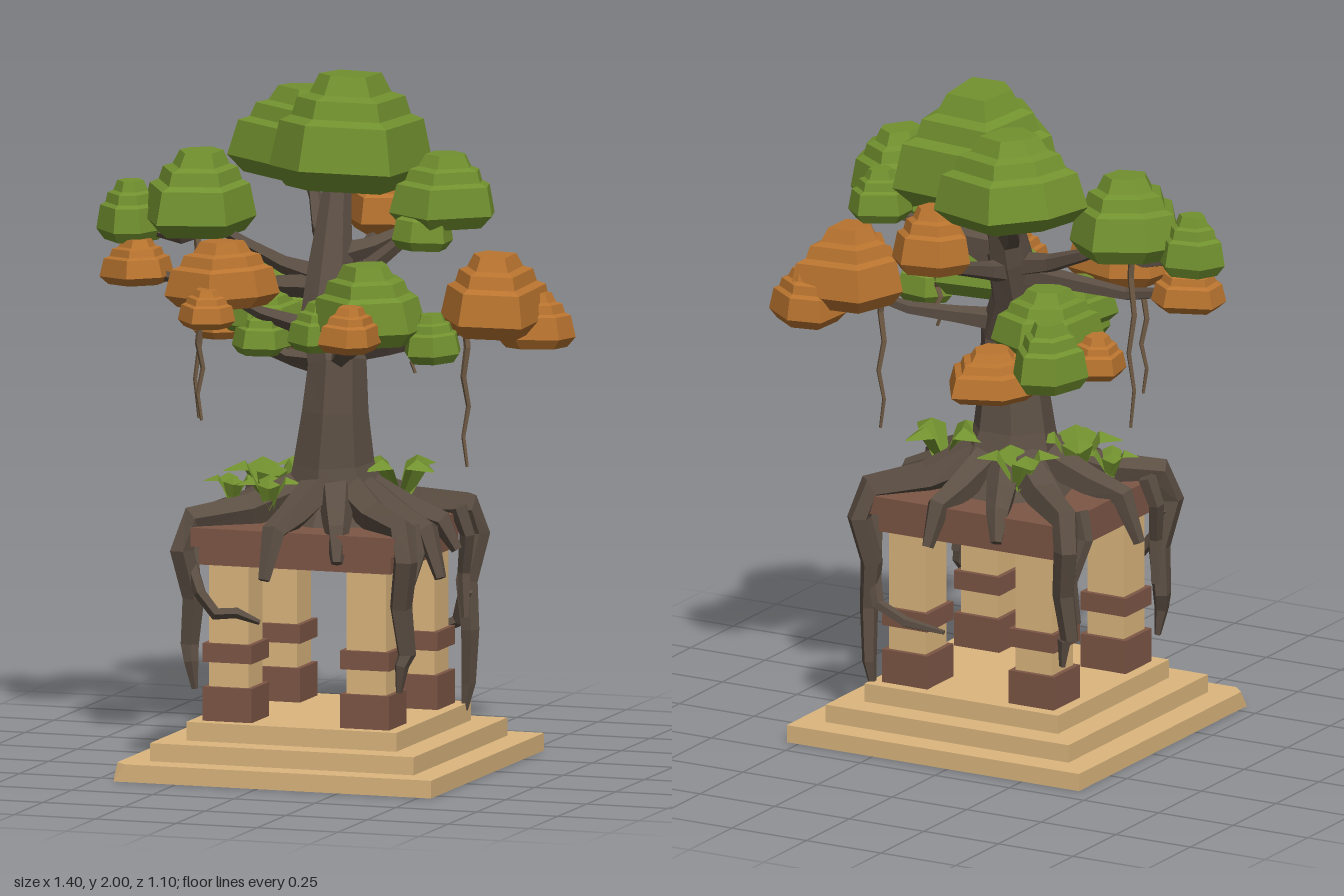
import * as THREE from 'three';

const mat = (name, color) => {
  const m = new THREE.MeshStandardMaterial({ color, flatShading: true, side: THREE.DoubleSide });
  m.name = name;
  return m;
};

export function createModel() {
  const stone = mat('sandstone', 0xdcb67e);
  const brick = mat('red stone', 0x7d5646);
  const bark = mat('bark', 0x5b4e43);
  const vineMat = mat('vine', 0x6f5a44);
  const green = mat('green foliage', 0x72912f);
  const orange = mat('orange foliage', 0xb9742f);
  const model = new THREE.Group();
  model.name = 'shrineTree';
  let seed = 11;
  const rand = () => (seed = (seed * 16807) % 2147483647) / 2147483647;
  const group = (name) => {
    const g = new THREE.Group();
    g.name = name;
    model.add(g);
    return g;
  };
  const add = (parent, name, geo, material) => {
    const m = new THREE.Mesh(geo, material);
    m.name = name;
    parent.add(m);
    return m;
  };
  const box = (parent, name, w, h, x, y, z, material) =>
    add(parent, name, new THREE.BoxGeometry(w, h, w), material).position.set(x, y + h / 2, z);

  // Tapered tube through [x, y, z, radius] points, with closed ends
  function limb(parent, name, pts, material, sides = 6) {
    const P = pts.map((p) => new THREE.Vector3(p[0], p[1], p[2]));
    const pos = [], idx = [], q = new THREE.Quaternion();
    const tan = (i) => P[Math.min(i + 1, P.length - 1)].clone().sub(P[Math.max(i - 1, 0)]).normalize();
    let t = tan(0);
    let u = new THREE.Vector3(0, 0, 1).addScaledVector(t, -t.z);
    if (u.length() < 0.2) u.set(1, 0, 0).addScaledVector(t, -t.x);
    u.normalize();
    P.forEach((p, i) => {
      const n = tan(i);
      u.applyQuaternion(q.setFromUnitVectors(t, n));
      t = n;
      const v = t.clone().cross(u);
      for (let j = 0; j < sides; j++) {
        const a = (j / sides) * Math.PI * 2;
        const c = p.clone().addScaledVector(u, Math.cos(a) * pts[i][3]).addScaledVector(v, Math.sin(a) * pts[i][3]);
        pos.push(c.x, c.y, c.z);
      }
    });
    const at = (i, j) => i * sides + (j % sides), last = P.length - 1;
    for (let i = 0; i < last; i++)
      for (let j = 0; j < sides; j++)
        idx.push(at(i, j), at(i, j + 1), at(i + 1, j), at(i, j + 1), at(i + 1, j + 1), at(i + 1, j));
    for (let j = 1; j < sides - 1; j++)
      idx.push(at(0, 0), at(0, j + 1), at(0, j), at(last, 0), at(last, j), at(last, j + 1));
    const g = new THREE.BufferGeometry();
    g.setAttribute('position', new THREE.Float32BufferAttribute(pos, 3));
    g.setIndex(idx);
    g.computeVertexNormals();
    return add(parent, name, g, material);
  }

  // Stepped plinth: three hollow shells, open underneath
  const CX = 0.048, CZ = 0.062;
  const plinth = group('plinth');
  function step(half, hole, y, h, chip) {
    const outline = (pts) => pts.map((p) => new THREE.Vector2(...p));
    const s = new THREE.Shape(outline([[-half + chip, -half], [half, -half], [half, half], [-half, half], [-half, -half + chip]]));
    if (hole) s.holes.push(new THREE.Path(outline([[-hole, -hole], [-hole, hole], [hole, hole], [hole, -hole]])));
    const g = new THREE.ExtrudeGeometry(s, { depth: h, bevelEnabled: false });
    const p = g.attributes.position, caps = g.groups[0].count;
    for (let i = 0; i < p.count; i++) {
      if (p.getZ(i) > 0) continue;
      const x = p.getX(i), y2 = p.getY(i);
      // underside and inner rim fold up against the top; the chipped corner slopes out at its foot
      if (i < caps || Math.max(Math.abs(x), Math.abs(y2)) < half - 0.01) p.setZ(i, h - 0.002);
      else if (x < -half + chip + 1e-4 && y2 < -half + chip + 1e-4) p.setXY(i, -half, -half);
    }
    g.rotateX(-Math.PI / 2);
    add(plinth, 'step', g, stone).position.set(CX, y, CZ);
  }
  step(0.49, 0.407, 0, 0.052, 0.035);
  step(0.407, 0.324, 0.05, 0.055, 0);
  step(0.324, 0, 0.105, 0.055, 0);

  // Four pillars carrying the roof
  const pillars = group('pillars');
  for (const sx of [-1, 1]) for (const sz of [-1, 1]) {
    const x = CX + sx * 0.212, z = CZ + sz * 0.21;
    box(pillars, 'pillarShaft', 0.122, 0.4, x, 0.24, z, stone);
    box(pillars, 'pillarBase', 0.152, 0.25, x, 0.01, z, brick);
    box(pillars, 'pillarBand', 0.152, 0.055, x, 0.333, z, brick);
  }
  const roof = group('roof');
  box(roof, 'roofLower', 0.59, 0.06, CX, 0.62, CZ, brick);
  box(roof, 'roofUpper', 0.63, 0.055, CX, 0.675, CZ, brick);

  // Leaning trunk with flared foot
  const tree = group('tree');
  const trunk = [[0.07, 0.72, 0.06, 0.22], [0.07, 0.8, 0.065, 0.155], [0.065, 0.9, 0.075, 0.122], [0.072, 1.05, 0.08, 0.1],
    [0.075, 1.19, 0.07, 0.088], [0.025, 1.31, 0.025, 0.078], [0.02, 1.45, -0.03, 0.068], [0.015, 1.6, -0.08, 0.05], [0.01, 1.76, -0.14, 0.035]];
  limb(tree, 'trunk', trunk, bark, 7);
  const onTrunk = (y) => {
    const i = Math.max(1, trunk.findIndex((p) => p[1] >= y)), a = trunk[i - 1], b = trunk[i];
    const k = (y - a[1]) / (b[1] - a[1]);
    return [0, 1, 2].map((c) => a[c] + (b[c] - a[c]) * k);
  };

  // Roots: crawl over the roof, bend at the edge, hang down
  const roots = group('roots');
  const hang = [[-0.28, 0.33, 0.25], [0.37, 0.33, 0.27], [0.375, -0.225, 0.14], [-0.28, -0.225, 0.3]];
  for (const [x, z, end] of hang) {
    const dx = x - 0.07, dz = z - 0.06, sx = Math.sign(dx), sz = Math.sign(dz);
    limb(roots, 'hangingRoot', [[0.07 + dx * 0.25, 0.82, 0.06 + dz * 0.25, 0.06], [0.07 + dx * 0.6, 0.765, 0.06 + dz * 0.6, 0.05],
      [x, 0.745, z, 0.042], [x + sx * 0.02, 0.66, z + sz * 0.03, 0.037], [x - sx * 0.005, 0.52, z, 0.034],
      [x + sx * 0.01, 0.38, z - sz * 0.01, 0.028], [x, end + 0.08, z + sz * 0.005, 0.022], [x - sx * 0.01, end, z, 0.01]], bark, 5);
    // thinner strand beside each hanging root
    limb(roots, 'rootStrand', [[x, 0.75, z - sz * 0.08, 0.028], [x + sx * 0.025, 0.67, z - sz * 0.07, 0.024],
      [x, 0.55, z - sz * 0.03, 0.02], [x + sx * 0.01, 0.42, z - sz * 0.05, 0.012]], bark, 5);
  }
  const short = [[-0.01, 0.46, 0.6], [0.46, 0.25, 0.6], [-0.34, 0.1, 0.6], [0.43, 0.02, 0.65],
    [0.14, -0.3, 0.62], [0.19, 0.39, 0.65], [-0.08, -0.28, 0.66]];
  for (const [x, z, end] of short) {
    const at = (k) => [0.07 + (x - 0.07) * k, 0.06 + (z - 0.06) * k];
    const [a, b, c] = [at(0.3), at(0.62), at(0.87)];
    limb(roots, 'shortRoot', [[a[0], 0.82, a[1], 0.055], [b[0], 0.765, b[1], 0.045], [c[0], 0.735, c[1], 0.036], [x, end, z, 0.018]], bark, 5);
  }
  limb(roots, 'curlingRoot', [[-0.29, 0.64, 0.33, 0.022], [-0.24, 0.54, 0.37, 0.02], [-0.19, 0.48, 0.37, 0.02], [-0.13, 0.485, 0.36, 0.017], [-0.07, 0.455, 0.33, 0.008]], bark, 5);
  limb(roots, 'curlingRoot', [[0.38, 0.5, -0.2, 0.022], [0.34, 0.4, -0.24, 0.02], [0.25, 0.36, -0.24, 0.017], [0.13, 0.34, -0.22, 0.007]], bark, 5);

  // Foliage pads: [x, z, radius, bottom, top, branch start height or 0, corners of the outline]
  const greens = [
    [0.02, -0.17, 0.24, 1.67, 2.0, 0, [[0.21, 0.215], [0.195, -0.2], [-0.155, -0.24], [-0.21, 0.085], [-0.07, 0.225]]],
    [-0.17, -0.33, 0.215, 1.67, 1.93, 1.5, [[-0.04, -0.22], [0.195, -0.13], [0.135, 0.125], [0, 0.19], [-0.22, 0.05], [-0.175, -0.1]]],
    [-0.39, -0.08, 0.195, 1.53, 1.77, 1.42, [[-0.18, 0.02], [-0.13, -0.085], [0.01, -0.165], [0.14, -0.07], [0.115, 0.125], [-0.08, 0.18]]],
    [-0.6, -0.05, 0.1, 1.5, 1.675, 0], [-0.32, -0.39, 0.11, 1.2, 1.4, 1.2], [-0.19, -0.17, 0.15, 1.24, 1.42, 0],
    [-0.17, 0.03, 0.12, 1.27, 1.4, 0], [-0.15, 0.1, 0.09, 1.21, 1.34, 1.2],
    [0.36, -0.06, 0.16, 1.59, 1.8, 1.4, [[-0.01, -0.18], [0.125, -0.085], [0.15, 0.01], [0.01, 0.18], [-0.135, 0.1], [-0.125, -0.085]]],
    [0.32, -0.25, 0.09, 1.58, 1.73, 1.48], [0.32, 0.02, 0.09, 1.53, 1.68, 0],
    [0.21, 0.18, 0.18, 1.27, 1.5, 1.2, [[-0.17, 0.01], [-0.095, -0.125], [0.085, -0.17], [0.17, -0.04], [0.16, 0.085], [-0.01, 0.15]]],
    [0.06, 0.15, 0.095, 1.24, 1.38, 0], [0.4, 0.15, 0.09, 1.22, 1.36, 0]];
  const oranges = [
    [-0.23, 0.2, 0.155, 1.36, 1.55, 1.28, [[-0.15, 0.085], [-0.125, -0.06], [-0.02, -0.12], [0.15, -0.075], [0.12, 0.03], [0.01, 0.155]]],
    [-0.23, 0.35, 0.085, 1.32, 1.43, 0], [-0.38, -0.21, 0.09, 1.2, 1.32, 1.18],
    [-0.1, -0.34, 0.145, 1.13, 1.27, 1.18], [-0.56, 0, 0.11, 1.38, 1.51, 1.4],
    [0.48, -0.13, 0.17, 1.27, 1.5, 1.22, [[0.135, -0.15], [0.14, 0.13], [-0.04, 0.175], [-0.15, 0.02], [-0.1, -0.15]]],
    [0.59, -0.22, 0.108, 1.22, 1.38, 0], [0.05, -0.43, 0.12, 1.51, 1.7, 1.4], [0.21, 0.35, 0.095, 1.27, 1.4, 1.2]];
  const profile = [[0, 0.04], [0.78, 0], [1, 0.18], [0.88, 0.58], [0.73, 0.63], [0.66, 0.79], [0.5, 0.83], [0.38, 1], [0, 1]]
    .map((p) => new THREE.Vector2(...p));
  const foliage = group('foliage');
  // uneven hexagon for pads without their own outline
  function hexagon(r) {
    const turn = rand() * Math.PI;
    return Array.from({ length: 6 }, (_, i) => {
      const a = turn + (i + rand() * 0.3) * Math.PI / 3, k = r * (0.92 + rand() * 0.2);
      return [Math.sin(a) * k, Math.cos(a) * k];
    });
  }
  function pad([x, z, r, y0, y1, from, corners = hexagon(r)], material) {
    const ring = [...corners].sort((a, b) => Math.atan2(...a) - Math.atan2(...b));
    const g = new THREE.LatheGeometry(profile, ring.length), p = g.attributes.position;
    for (let i = 0; i < p.count; i++) {
      const c = ring[Math.floor(i / profile.length) % ring.length], f = profile[i % profile.length];
      p.setXYZ(i, c[0] * f.x, f.y * (y1 - y0), c[1] * f.x);
    }
    const m = add(foliage, 'leafPad', g, material);
    m.position.set(x, y0, z);
    m.rotation.set((rand() - 0.5) * 0.1, 0, (rand() - 0.5) * 0.1);
    if (!from) return;
    const [a, b, c] = onTrunk(from), d = y0 - from;
    limb(tree, 'branch', [[a, b, c, 0.042], [a + (x - a) * 0.35, b + d * 0.3, c + (z - c) * 0.3, 0.028],
      [a + (x - a) * 0.65, b + d * 0.75, c + (z - c) * 0.7, 0.02], [x, y0 + 0.04, z, 0.013]], bark, 5);
  }
  greens.forEach((f) => pad(f, green));
  oranges.forEach((f) => pad(f, orange));
  limb(tree, 'branch', [[-0.33, 1.56, -0.08, 0.024], [-0.45, 1.51, -0.06, 0.018], [-0.6, 1.54, -0.05, 0.011]], bark, 5);

  // Hanging vines: [x, z, top, bottom]
  const vines = group('vines');
  for (const [x, z, top, end] of [[-0.39, -0.03, 1.56, 0.99], [-0.3, 0.2, 1.4, 1.02], [0.31, 0.06, 1.32, 1.17], [0.42, -0.08, 1.32, 0.88]]) {
    const pts = [];
    for (let i = 0; i <= 5; i++) pts.push([x + (i % 2 ? 0.007 : -0.005), top + (end - top) * i / 5, z + (i % 3 ? 0.006 : -0.005), 0.012 - i * 0.0014]);
    limb(vines, 'vine', pts, vineMat, 4);
  }

  // Leaf tufts between the roots: broad blades that rise and droop at the tip
  const tufts = group('leafTufts');
  for (const [x, z, turn, size] of [[-0.12, 0.12, 0.3, 1.1], [0.24, -0.02, 1, 1.15], [-0.05, -0.1, 2, 1], [-0.22, 0.14, 0.2, 0.7], [-0.08, 0.22, 0.1, 0.8]])
    for (let i = 0; i < 4; i++) {
      const g = new THREE.PlaneGeometry(0.085, 0.14, 2, 2), p = g.attributes.position;
      for (let k = 0; k < p.count; k++) {
        const row = Math.round((p.getY(k) / 0.14 + 0.5) * 2), side = p.getX(k) * [0.4, 1, 0.1][row];
        p.setXYZ(k, side, [0, 0.115, 0.09][row] - Math.abs(side) * 0.5, row * 0.06);
      }
      const m = add(tufts, 'leaf', g, green);
      m.position.set(x, 0.775, z);
      m.scale.setScalar(size);
      m.rotation.y = turn + i * 1.57 + rand() * 0.5;
    }
  return model;
}
